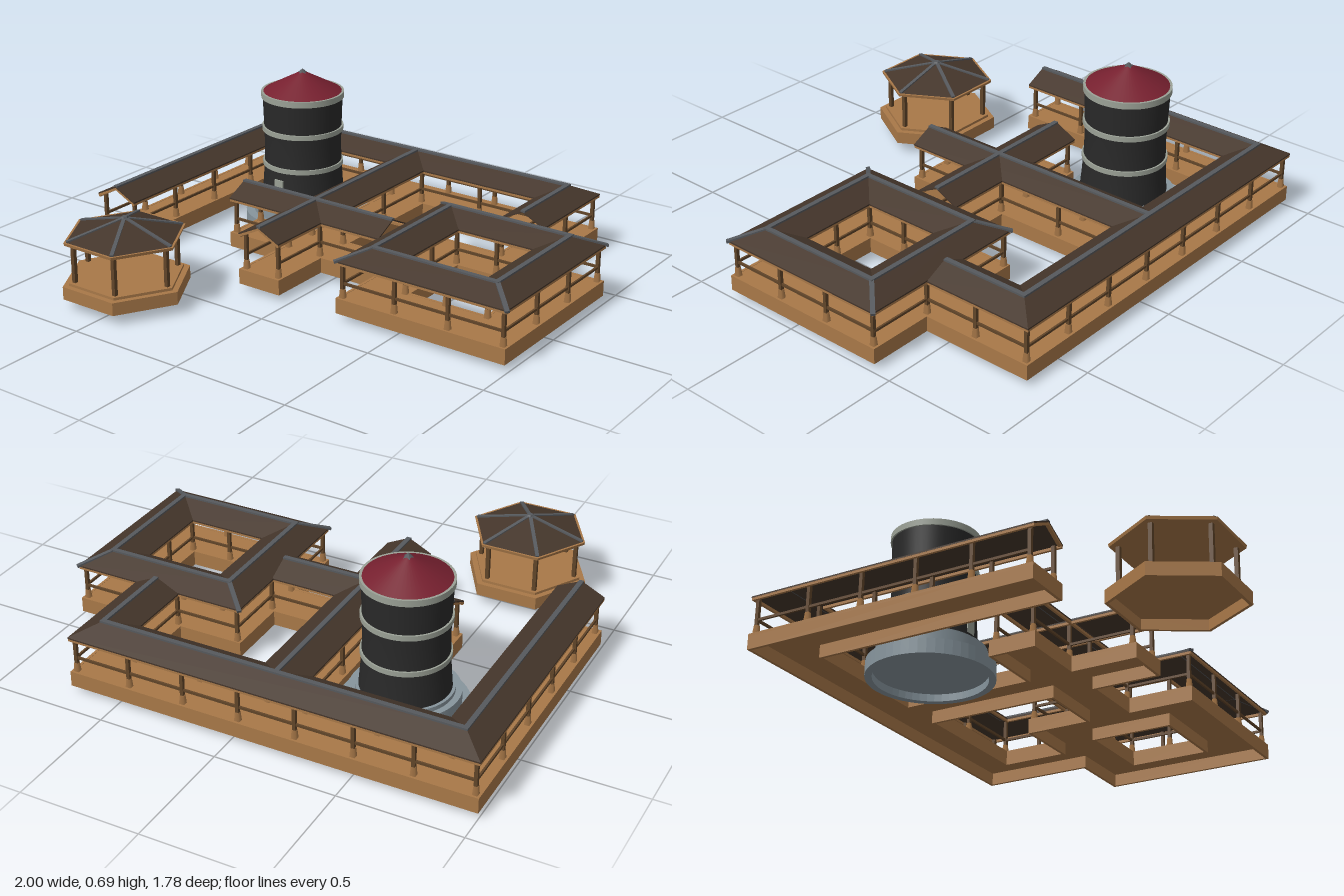
import * as THREE from 'three';

const mat = (name, color, side = THREE.FrontSide) => {
  const m = new THREE.MeshStandardMaterial({ color, side });
  m.name = name;
  return m;
};

export function createModel() {
  const wood = mat('warm wood', 0xa87848);
  const darkWood = mat('dark wood', 0x614529);
  const tile = mat('roof brown', 0x45362b, THREE.DoubleSide);
  const ridge = mat('ridge grey', 0x56595d);
  const black = mat('tower black', 0x292929);
  const red = mat('tower red', 0x76202f);
  const stone = mat('stone grey', 0x87959d);
  const trim = mat('pale trim', 0x9ba196);

  const root = new THREE.Group();
  const group = (name) => {
    const g = new THREE.Group();
    g.name = name;
    root.add(g);
    return g;
  };
  const add = (parent, name, geo, material, x = 0, y = 0, z = 0) => {
    const m = new THREE.Mesh(geo, material);
    m.name = name;
    m.position.set(x, y, z);
    parent.add(m);
    return m;
  };
  const box = (parent, name, material, x0, x1, y0, y1, z0, z1) =>
    add(parent, name, new THREE.BoxGeometry(x1 - x0, y1 - y0, z1 - z0), material,
      (x0 + x1) / 2, (y0 + y1) / 2, (z0 + z1) / 2);
  // Upright-edged bar between two points
  const bar = (parent, name, material, a, b, w, h) => {
    const p = new THREE.Vector3(...a), q = new THREE.Vector3(...b);
    const geo = new THREE.BoxGeometry(w, h, p.distanceTo(q));
    geo.applyMatrix4(new THREE.Matrix4().lookAt(q, p, new THREE.Vector3(0, 1, 0)));
    const c = p.lerp(q, 0.5);
    add(parent, name, geo, material, c.x, c.y, c.z);
  };

  // Sweeps a convex counter-clockwise profile of [offset, y] along a mitred ground path
  const sweep = (path, closed, profile) => {
    const n = path.length, k = profile.length, segs = closed ? n : n - 1, pos = [];
    const side = (i) => {
      const a = path[i], b = path[(i + 1) % n];
      const l = Math.hypot(b[0] - a[0], b[1] - a[1]);
      return [-(b[1] - a[1]) / l, (b[0] - a[0]) / l];
    };
    const rings = path.map((p, i) => {
      const s1 = side(closed ? (i + n - 1) % n : Math.max(i - 1, 0));
      const s2 = side(closed ? i : Math.min(i, n - 2));
      const d = 1 + s1[0] * s2[0] + s1[1] * s2[1];
      const mx = (s1[0] + s2[0]) / d, mz = (s1[1] + s2[1]) / d;
      return profile.map(([o, y]) => [p[0] + mx * o, y, p[1] + mz * o]);
    });
    const tri = (...v) => v.forEach((p) => pos.push(...p));
    for (let i = 0; i < segs; i++) {
      const A = rings[i], B = rings[(i + 1) % n];
      for (let j = 0; j < k; j++) {
        const t = (j + 1) % k;
        tri(A[j], B[j], B[t]);
        tri(A[j], B[t], A[t]);
      }
    }
    if (!closed) {
      const E = rings[n - 1], S = rings[0];
      for (let j = 1; j < k - 1; j++) {
        tri(S[0], S[j], S[j + 1]);
        tri(E[0], E[j + 1], E[j]);
      }
    }
    const g = new THREE.BufferGeometry();
    g.setAttribute('position', new THREE.Float32BufferAttribute(pos, 3));
    g.computeVertexNormals();
    return g;
  };

  // Gabled walkway roof with eave boards, ridge cap and gable boards
  const EAVE = 0.238, RIDGE = 0.287;
  const slope = (s, w, drop, thick) => {
    const p = [[0, RIDGE - drop], [s * w, EAVE - drop], [s * w, EAVE - drop + thick], [0, RIDGE - drop + thick]];
    return s > 0 ? p : p.reverse();
  };
  const rect = (o, w, y0, y1) => [[o - w, y0], [o + w, y0], [o + w, y1], [o - w, y1]];
  const roof = (name, w, path, closed, gable) => {
    const g = group(name);
    for (const s of [-1, 1]) {
      add(g, 'roofSlope', sweep(path, closed, slope(s, w, 0, 0.006)), tile);
      add(g, 'eaveBoard', sweep(path, closed, rect(s * (w - 0.006), 0.005, 0.228, 0.239)), wood);
      if (gable) add(g, 'gableBoard', sweep(gable, false, slope(s, w - 0.002, 0.01, 0.01)), wood);
    }
    add(g, 'ridgeCap', sweep(path, closed, rect(0, 0.01, 0.286, 0.296)), ridge);
    return g;
  };
  roof('outerWalkwayRoof', 0.1, [[-0.9, 0.335], [-0.9, -0.79], [0.608, -0.79], [0.608, -0.42]], false,
    [[-0.9, 0.335], [-0.9, 0.322]]);
  roof('middleWalkwayRoof', 0.1, [[-0.144, 0.335], [-0.144, -0.79]], false, [[-0.144, 0.335], [-0.144, 0.322]]);
  roof('crossWalkwayRoof', 0.1, [[-0.517, -0.043], [0.237, -0.043]], false, [[-0.517, -0.043], [-0.504, -0.043]]);
  const court = roof('courtyardRoof', 0.104, [[0.336, -0.313], [0.884, -0.313], [0.884, 0.231], [0.336, 0.231]], true);
  for (const sx of [-1, 1]) for (const sz of [-1, 1]) {
    const rx = 0.61 + sx * 0.274, rz = -0.041 + sz * 0.272;
    bar(court, 'hipCap', ridge, [rx, 0.291, rz], [rx + sx * 0.109, 0.241, rz + sz * 0.109], 0.018, 0.01);
  }

  // Hollow platforms: thin floors with a skirt wall round the outline and openings
  const floors = group('platforms');
  for (const [x0, x1, z0, z1] of [
    [-1, -0.8, -0.69, 0.335], [-1, 0.708, -0.89, -0.69], [-0.244, -0.044, -0.69, 0.335],
    [-0.517, -0.244, -0.143, 0.057], [-0.044, 0.232, -0.143, 0.057], [0.508, 0.708, -0.69, -0.416],
    [0.232, 0.987, -0.416, -0.21], [0.232, 0.987, 0.127, 0.335],
    [0.232, 0.44, -0.21, 0.127], [0.78, 0.987, -0.21, 0.127],
  ]) box(floors, 'floor', wood, x0, x1, 0.078, 0.089, z0, z1);
  for (const outline of [
    [[-1, 0.335], [-1, -0.89], [0.708, -0.89], [0.708, -0.416], [0.987, -0.416], [0.987, 0.335],
      [0.232, 0.335], [0.232, 0.057], [-0.044, 0.057], [-0.044, 0.335], [-0.244, 0.335], [-0.244, 0.057],
      [-0.517, 0.057], [-0.517, -0.143], [-0.244, -0.143], [-0.244, -0.69], [-0.8, -0.69], [-0.8, 0.335]],
    [[-0.044, -0.69], [-0.044, -0.143], [0.232, -0.143], [0.232, -0.416], [0.508, -0.416], [0.508, -0.69]],
    [[0.44, -0.21], [0.44, 0.127], [0.78, 0.127], [0.78, -0.21]],
  ]) add(floors, 'skirt', sweep(outline, true, rect(0.006, 0.006, 0.026, 0.09)), wood);

  // Post rows with pedestals and a handrail
  const rails = group('railings');
  const postGeo = new THREE.BoxGeometry(0.014, 0.145, 0.014);
  const footGeo = new THREE.CylinderGeometry(0.011, 0.015, 0.038, 4).rotateY(Math.PI / 4);
  const placed = new Set();
  const run = (x0, z0, x1, z1) => {
    const n = Math.max(1, Math.round(Math.hypot(x1 - x0, z1 - z0) / 0.24));
    for (let i = 0; i <= n; i++) {
      const x = x0 + (x1 - x0) * i / n, z = z0 + (z1 - z0) * i / n, key = x.toFixed(2) + '/' + z.toFixed(2);
      if (placed.has(key)) continue;
      placed.add(key);
      add(rails, 'post', postGeo, darkWood, x, 0.1625, z);
      add(rails, 'postFoot', footGeo, wood, x, 0.108, z);
    }
    bar(rails, 'handrail', darkWood, [x0, 0.15, z0], [x1, 0.15, z1], 0.008, 0.01);
  };
  for (const r of [
    [-0.98, 0.31, -0.98, -0.87], [-0.98, -0.87, 0.688, -0.87], [0.688, -0.87, 0.688, -0.4],
    [-0.82, 0.31, -0.82, -0.71], [-0.82, -0.71, -0.224, -0.71], [-0.064, -0.71, 0.528, -0.71],
    [0.528, -0.71, 0.528, -0.4],
  ]) run(...r);
  for (const x of [-0.224, -0.064]) {
    run(x, -0.71, x, -0.123);
    run(x, 0.037, x, 0.31);
  }
  for (const z of [-0.123, 0.037]) {
    run(-0.497, z, -0.224, z);
    run(-0.064, z, 0.252, z);
  }
  // Courtyard rows, open where the walkways join
  run(0.252, 0.315, 0.967, 0.315);
  run(0.967, 0.315, 0.967, -0.396);
  run(0.967, -0.4, 0.688, -0.4);
  run(0.528, -0.4, 0.252, -0.4);
  run(0.252, -0.4, 0.252, -0.123);
  run(0.252, 0.037, 0.252, 0.315);
  for (const x of [0.425, 0.795]) run(x, -0.225, x, 0.142);
  for (const z of [-0.225, 0.142]) run(0.425, z, 0.795, z);

  // Round tower on a stepped, hollow plinth
  const tower = group('tower');
  tower.position.set(-0.492, 0, -0.417);
  const step = (name, r, y0, y1, material) =>
    add(tower, name, new THREE.CylinderGeometry(r, r, y1 - y0, 48), material, 0, (y0 + y1) / 2, 0);
  const ring = new THREE.Shape().absarc(0, 0, 0.25, 0, Math.PI * 2);
  ring.holes.push(new THREE.Path().absarc(0, 0, 0.222, 0, Math.PI * 2, true));
  add(tower, 'plinthRing', new THREE.ExtrudeGeometry(ring, { depth: 0.06, bevelEnabled: false, curveSegments: 24 })
    .rotateX(-Math.PI / 2), stone);
  step('plinthTop', 0.224, 0.03, 0.06, stone);
  step('lowerStep', 0.215, 0.06, 0.115, stone);
  step('upperStep', 0.19, 0.115, 0.132, stone);
  const bodyProfile = [[0.178, 0.13], [0.172, 0.2], [0.167, 0.28], [0.165, 0.36], [0.167, 0.44], [0.172, 0.58]];
  add(tower, 'towerBody', new THREE.LatheGeometry(bodyProfile.map((p) => new THREE.Vector2(...p)), 48), black);
  step('lowerBand', 0.174, 0.27, 0.29, trim);
  step('middleBand', 0.175, 0.425, 0.446, trim);
  step('topBand', 0.178, 0.571, 0.597, trim);
  add(tower, 'towerRoof', new THREE.ConeGeometry(0.17, 0.09, 48), red, 0, 0.641, 0);
  add(tower, 'finial', new THREE.ConeGeometry(0.024, 0.02, 5), ridge, 0, 0.683, 0);
  box(tower, 'door', trim, -0.022, 0.022, 0.15, 0.235, 0.16, 0.177);

  // Hexagonal pavilion
  const pavilion = group('pavilion');
  pavilion.position.set(-0.546, 0, 0.66);
  const hex = (name, r0, r1, y0, y1, material) =>
    add(pavilion, name, new THREE.CylinderGeometry(r1, r0, y1 - y0, 6).rotateY(Math.PI / 6).toNonIndexed(),
      material, 0, (y0 + y1) / 2, 0).geometry.computeVertexNormals();
  const hexPoints = (r) => Array.from({ length: 6 }, (_, i) =>
    new THREE.Vector2(r * Math.cos(i * Math.PI / 3), r * Math.sin(i * Math.PI / 3)));
  const wall = new THREE.Shape(hexPoints(0.261));
  wall.holes.push(new THREE.Path(hexPoints(0.247)));
  add(pavilion, 'baseWall', new THREE.ExtrudeGeometry(wall, { depth: 0.053, bevelEnabled: false })
    .rotateX(-Math.PI / 2), wood, 0, 0.043, 0);
  hex('floor', 0.255, 0.255, 0.086, 0.096, wood);
  hex('upperStep', 0.235, 0.235, 0.095, 0.107, wood);
  hex('eaveRing', 0.245, 0.248, 0.266, 0.278, wood);
  hex('pavilionRoof', 0.238, 0.004, 0.278, 0.343, tile);
  hex('roofCap', 0.022, 0.012, 0.334, 0.35, ridge);
  hexPoints(1).forEach(({ x, y: z }) => {
    box(pavilion, 'pavilionPost', darkWood, x * 0.21 - 0.008, x * 0.21 + 0.008, 0.1, 0.27, z * 0.21 - 0.008, z * 0.21 + 0.008);
    bar(pavilion, 'hipCap', ridge, [0, 0.343, 0], [x * 0.236, 0.28, z * 0.236], 0.015, 0.008);
  });

  return root;
}
